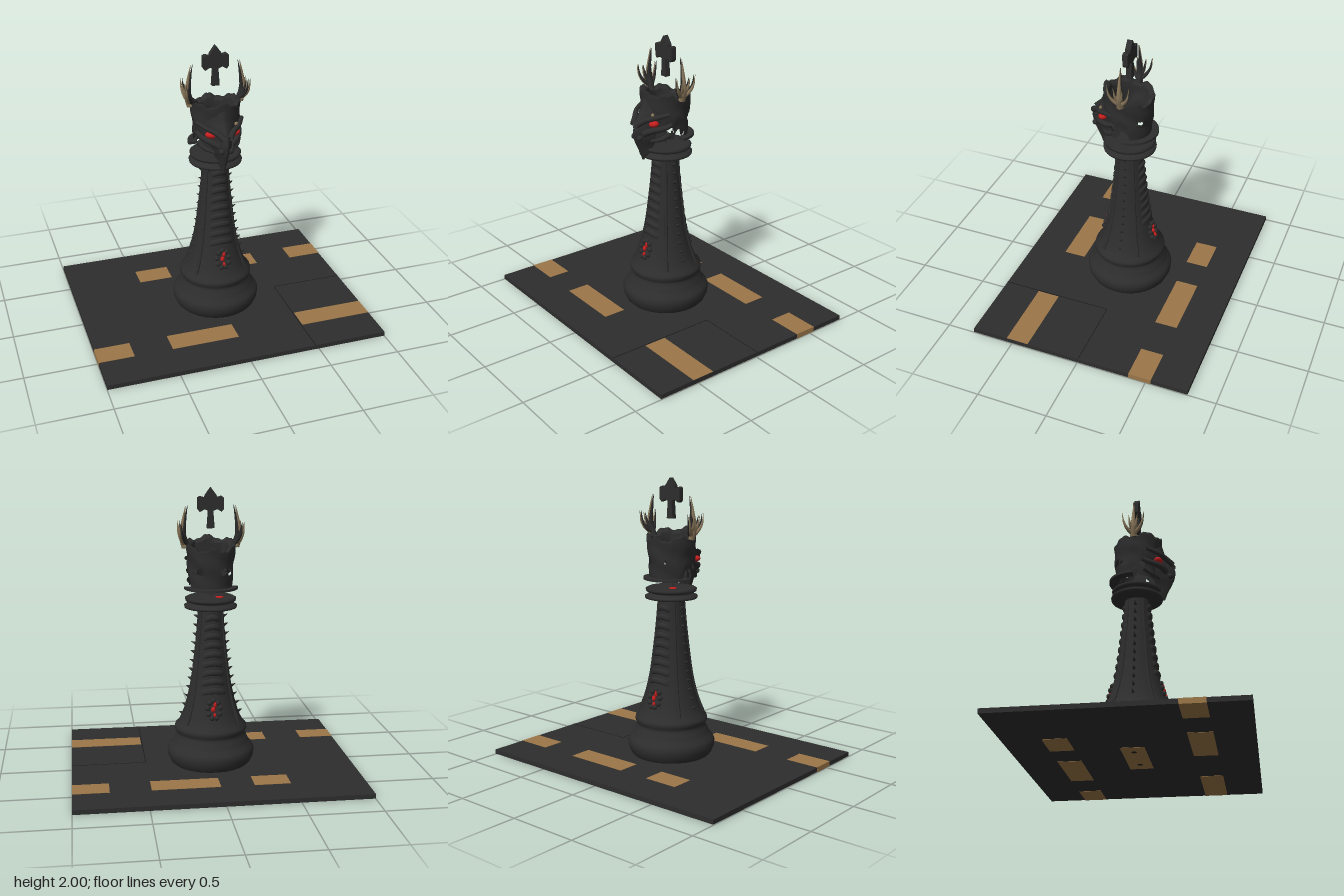
import * as THREE from 'three';

const mat = (name, color, double) => {
  const m = new THREE.MeshStandardMaterial({ color });
  m.name = name;
  if (double) m.side = THREE.DoubleSide;
  return m;
};

// Surface from a function f(u, v) -> [x, y, z]; cells may be skipped to leave holes
function gridSurface(nu, nv, f, skip = () => false) {
  const pos = [], idx = [];
  for (let j = 0; j <= nv; j++) for (let i = 0; i <= nu; i++) pos.push(...f(i / nu, j / nv));
  for (let j = 0; j < nv; j++) for (let i = 0; i < nu; i++) {
    if (skip((i + 0.5) / nu, (j + 0.5) / nv)) continue;
    const a = j * (nu + 1) + i, b = a + 1, c = a + nu + 1, d = c + 1;
    idx.push(a, b, d, a, d, c);
  }
  const g = new THREE.BufferGeometry();
  g.setAttribute('position', new THREE.Float32BufferAttribute(pos, 3));
  g.setIndex(idx);
  g.computeVertexNormals();
  return g;
}

// Tube along a curve that narrows to a point
function taperedTube(points, r0, r1 = 0.001) {
  const curve = new THREE.CatmullRomCurve3(points.map(p => new THREE.Vector3(...p)));
  const n = 14, sides = 8;
  const g = new THREE.TubeGeometry(curve, n, 1, sides, false);
  const p = g.attributes.position, v = new THREE.Vector3();
  for (let i = 0; i < p.count; i++) {
    const t = Math.floor(i / (sides + 1)) / n, c = curve.getPointAt(t);
    v.fromBufferAttribute(p, i).sub(c).multiplyScalar(r0 + (r1 - r0) * t).add(c);
    p.setXYZ(i, v.x, v.y, v.z);
  }
  return g;
}

// Piecewise linear lookup in rows whose first entry is y
function lookup(rows, y, k) {
  let i = 1;
  while (i < rows.length - 1 && rows[i][0] < y) i++;
  const a = rows[i - 1], b = rows[i];
  return a[k] + (b[k] - a[k]) * THREE.MathUtils.clamp((y - a[0]) / (b[0] - a[0]), 0, 1);
}

export function createModel() {
  const model = new THREE.Group();
  const black = mat('charcoal', 0x2d2d2d, true);
  const seam = mat('seam black', 0x1c1c1c);
  const gold = mat('dull gold', 0x9b7648);
  const bone = mat('bone', 0x8c795c, true);
  const red = mat('red', 0xc41e1e, true);
  const add = (name, geo, material, x = 0, y = 0, z = 0, parent = model) => {
    const m = new THREE.Mesh(geo, material);
    m.name = name;
    m.position.set(x, y, z);
    parent.add(m);
    return m;
  };
  const box = (name, x0, x1, y0, y1, z0, z1, m) =>
    add(name, new THREE.BoxGeometry(x1 - x0, y1 - y0, z1 - z0), m, (x0 + x1) / 2, (y0 + y1) / 2, (z0 + z1) / 2);

  // Base plate with inlays that pass through it, and seams
  box('basePlate', -0.999, 0.999, 0.002, 0.034, -0.8, 0.8, black);
  [[-0.48, -0.23, -1], [0, 0.47, -1], [0.75, 1, -1], [-1, -0.75, 1], [-0.48, 0, 1], [0.48, 0.998, 1]].forEach(([a, b, s]) =>
    box('inlay', a, b, 0, 0.036, s * 0.458 - 0.081, s * 0.458 + 0.081, gold));
  box('undersideInlay', -0.24, 0.24, 0, 0.005, -0.08, 0.08, gold);
  for (const s of [-1, 1]) add('undersideHole', new THREE.CylinderGeometry(0.018, 0.018, 0.004, 16), seam, s * 0.14, 0.001, 0);
  box('plateSeam', 0.469, 0.475, 0.03, 0.0355, 0, 0.8, seam);
  box('plateSeam', 0.472, 0.999, 0.03, 0.0355, -0.008, -0.003, seam);

  // Turned column
  const profile = [[0.034, 0.275], [0.05, 0.29], [0.09, 0.308], [0.13, 0.312], [0.155, 0.3], [0.18, 0.278], [0.2, 0.268], [0.23, 0.255],
    [0.25, 0.243], [0.27, 0.245], [0.285, 0.258], [0.31, 0.255], [0.325, 0.235], [0.37, 0.212], [0.42, 0.193], [0.5, 0.17],
    [0.6, 0.148], [0.7, 0.133], [0.85, 0.115], [1.0, 0.1], [1.1, 0.092], [1.165, 0.088]];
  const radius = y => lookup(profile, y, 1);
  add('column', new THREE.LatheGeometry(profile.map(([y, r]) => new THREE.Vector2(r, y)), 56), black);

  // Double collar under the head
  const collar = [[0.085, 1.15], [0.15, 1.158], [0.183, 1.166], [0.186, 1.18], [0.165, 1.19], [0.14, 1.2], [0.155, 1.208],
    [0.176, 1.215], [0.18, 1.232], [0.165, 1.241], [0, 1.241]];
  add('collar', new THREE.LatheGeometry(collar.map(p => new THREE.Vector2(...p)), 48), black);
  add('collarSpike', new THREE.ConeGeometry(0.018, 0.035, 8), black, 0, 1.256, 0.01);
  add('collarJewel', new THREE.CylinderGeometry(0.028, 0.028, 0.005, 7), red, -0.055, 1.243, -0.05);

  // Spines on the sides, ribs on front and back
  for (let k = 0; k < 12; k++) {
    const y = 0.4 + k * 0.064, r = radius(y);
    for (const s of [-1, 1]) {
      const spine = add('sideSpine', new THREE.ConeGeometry(0.016, 0.045, 7), black, s * (r + 0.01), y, 0);
      spine.rotation.z = -s * 1.15;
      if (y < 0.57) continue;
      const half = 0.65;
      const rib = gridSurface(14, 6, (u, v) => {
        const a = (u - 0.5) * 2 * half, fade = Math.cos((u - 0.5) * Math.PI);
        const b = v * Math.PI, yy = y - 0.022 * Math.cos(b) - 0.02 * (1 - fade);
        const rr = radius(yy) - 0.003 + 0.02 * Math.sin(b) * Math.sqrt(fade) * (0.6 + 0.4 * v);
        return [Math.sin(a) * rr, yy, Math.cos(a) * rr];
      });
      add(s > 0 ? 'frontRib' : 'backRib', rib, black).rotation.y = s > 0 ? 0 : Math.PI;
    }
  }
  // Long raised seams beside the ribs
  for (const a of [0.95, 2.19, 4.09, 5.33]) {
    const pts = [0.34, 0.45, 0.6, 0.8, 1.0, 1.15].map(y => [Math.sin(a) * radius(y), y, Math.cos(a) * radius(y)]);
    add('columnRidge', taperedTube(pts, 0.013, 0.008), black);
  }

  // Jewelled ornaments low on the front and back
  for (const s of [1, -1]) {
    const g = new THREE.Group();
    g.name = s > 0 ? 'frontOrnament' : 'backOrnament';
    g.rotation.y = s > 0 ? 0 : Math.PI;
    model.add(g);
    for (let k = 0; k < 9; k++) {
      const a = k / 9 * Math.PI * 2, y = 0.465 + Math.cos(a) * 0.06;
      add('ornamentKnob', new THREE.SphereGeometry(0.019, 8, 6), black, Math.sin(a) * 0.045, y, radius(y) - 0.001, g);
    }
    [[0.008, 0.5, 0.012, 0.022], [-0.006, 0.468, 0.015, 0.02], [0.004, 0.43, 0.01, 0.016]].forEach(([x, y, w, h]) =>
      add('ornamentJewel', new THREE.SphereGeometry(1, 10, 8), red, x, y, radius(y) + 0.005, g).scale.set(w, h, 0.014));
  }

  // Hollow crown with scalloped rim, side arches and openings
  const bump = (a, c, w) => Math.max(0, 1 - ((a - c) / w) ** 2);
  const wrap = u => Math.abs(u > 0.5 ? u - 1 : u) * 360;
  const edges = u => {
    const d = wrap(u), a = d * Math.PI / 180;
    const top = 1.612 + 0.025 * Math.cos(a) + 0.014 * Math.cos(6 * a) + 0.005 * Math.sin(17 * a);
    return [1.312 + 0.07 * Math.sqrt(bump(d, 92, 17)), top];
  };
  const crownRow = v => v < 0.5 ? v * 2 : 2 - v * 2;
  const crown = gridSurface(96, 36, (u, v) => {
    const [lo, hi] = edges(u), t = crownRow(v), a = u * Math.PI * 2, y = lo + (hi - lo) * t;
    const r = 0.153 + 0.02 * t + 0.005 * Math.sin(3 * a + 9 * t) * Math.sin(t * Math.PI) - (v > 0.5 ? 0.032 : 0);
    return [Math.sin(a) * r, y, Math.cos(a) * r * (Math.cos(a) > 0 ? 1.05 : 0.98)];
  }, (u, v) => {
    const [lo, hi] = edges(u), y = lo + (hi - lo) * crownRow(v), d = wrap(u);
    return ((d - 143) / 19) ** 2 + ((y - 1.43) / 0.03) ** 2 < 1 || ((d - 66) / 9) ** 2 + ((y - 1.385) / 0.04) ** 2 < 1;
  });
  add('crown', crown, black);

  // Flat brim around the back half
  const brim = new THREE.Shape();
  brim.absarc(0, 0, 0.188, 0, Math.PI, false);
  brim.absarc(0, 0, 0.125, Math.PI, 0, true);
  add('brim', new THREE.ExtrudeGeometry(brim, { depth: 0.016, bevelEnabled: false, curveSegments: 28 }), black, 0, 1.3, -0.012).rotation.x = -Math.PI / 2;

  // Mask: y, half width, z at the edge, z at the middle
  const mask = [[1.155, 0.004, 0.19, 0.2], [1.2, 0.03, 0.165, 0.215], [1.26, 0.05, 0.14, 0.245], [1.31, 0.075, 0.13, 0.268],
    [1.37, 0.088, 0.13, 0.28], [1.42, 0.1, 0.125, 0.265], [1.47, 0.12, 0.115, 0.235], [1.52, 0.135, 0.1, 0.203], [1.6, 0.14, 0.1, 0.18]];
  add('mask', gridSurface(24, 28, (u, v) => {
    const y = 1.155 + v * 0.445, t = u * 2 - 1, e = lookup(mask, y, 2);
    return [t * lookup(mask, y, 1), y, e + (lookup(mask, y, 3) - e) * (1 - Math.abs(t) ** 1.4)];
  }), black);
  add('maskBack', gridSurface(8, 14, (u, v) => {
    const y = 1.155 + v * 0.445;
    return [(u * 2 - 1) * lookup(mask, y, 1), y, lookup(mask, y, 2)];
  }), black);
  for (const s of [-1, 1]) {
    const eye = add('eye', new THREE.SphereGeometry(1, 16, 10), red, s * 0.082, 1.428, 0.163);
    eye.scale.set(0.042, 0.023, 0.032);
    eye.rotation.z = s * 0.2;
    add('brow', taperedTube([[s * 0.02, 1.425, 0.26], [s * 0.06, 1.458, 0.215], [s * 0.11, 1.478, 0.17], [s * 0.16, 1.5, 0.09]], 0.022, 0.014), black);
    add('cheek', taperedTube([[s * 0.04, 1.36, 0.215], [s * 0.09, 1.385, 0.18], [s * 0.135, 1.4, 0.11], [s * 0.15, 1.42, 0.06]], 0.025, 0.016), black);
    add('nostril', new THREE.SphereGeometry(0.02, 10, 8), black, s * 0.032, 1.33, 0.245);
    add('jawTusk', taperedTube([[s * 0.14, 1.35, 0.07], [s * 0.115, 1.32, 0.12], [s * 0.06, 1.3, 0.17]], 0.022, 0.01), black);

    // Antler: bone on the outside, charcoal on the inside
    const prongs = [[[0.172, 1.59, 0], [0.197, 1.67, 0], [0.188, 1.77, 0], [0.168, 1.88, 0]]];
    for (const q of [-1, 1]) {
      prongs.push([[0.178, 1.61, 0], [0.2, 1.645, q * 0.04], [0.214, 1.69, q * 0.065], [0.218, 1.765, q * 0.078]]);
      prongs.push([[0.178, 1.63, 0], [0.205, 1.67, q * 0.02], [0.222, 1.75, q * 0.032]]);
    }
    prongs.forEach((p, i) => [[bone, 0.004], [black, -0.009]].forEach(([m, dx]) =>
      add(m === bone ? 'antlerOutside' : 'antlerInside',
        taperedTube(p.map(([x, y, z]) => [s * (x + dx), y, z]), i ? 0.017 : 0.026), m)));
  }
  add('browMark', new THREE.SphereGeometry(1, 8, 6), bone, 0.09, 1.495, 0.178).scale.set(0.014, 0.014, 0.01);

  // Floating finial
  const half = [[0.026, 1.72], [0.017, 1.84], [0.045, 1.85], [0.075, 1.832], [0.09, 1.85], [0.09, 1.93], [0.075, 1.94], [0.042, 1.93], [0.04, 1.945]];
  const outline = [...half, [0, 2], ...half.map(([x, y]) => [-x, y]).reverse()];
  const finial = new THREE.Shape(outline.map(p => new THREE.Vector2(...p)));
  add('finial', new THREE.ExtrudeGeometry(finial, { depth: 0.038, bevelEnabled: false }), black, 0, 0, -0.019);

  return model;
}
